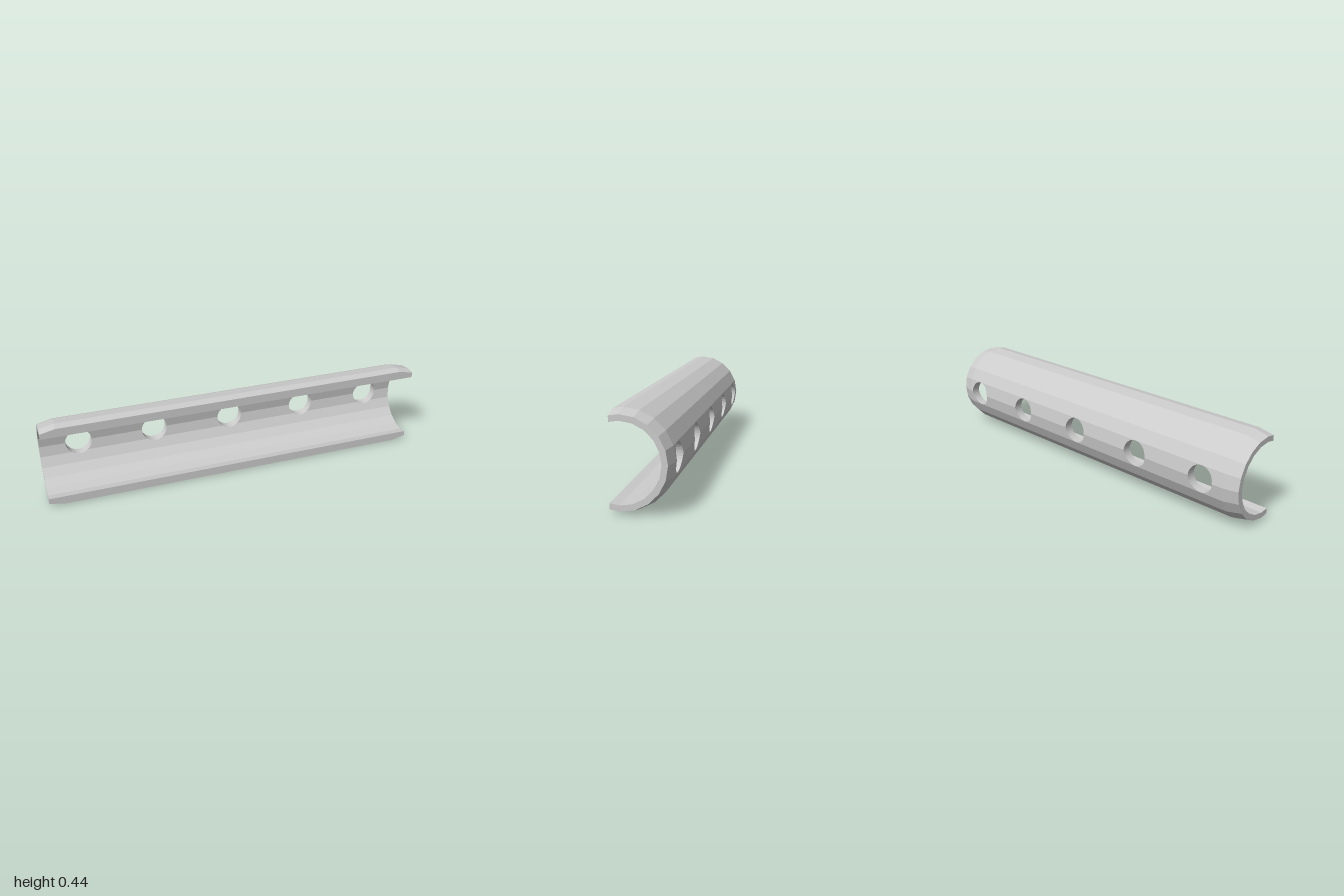
import * as THREE from 'three';

const STEP = Math.PI / 10;            // 20-sided tube
const AXIS_Y = 0.222, AXIS_Z = 0.09, FRONT_Z = 0.133;
const OUTER = 0.222, OUTER_END = 0.205, INNER = 0.178;
const CHAMFER_X = 0.925, HOLE_R = 0.068;
const HOLES = [-0.8, -0.4, 0.02, 0.44, 0.84];
const FACETS = 6;                     // facets from the back line to the cut edge

// Upper half of the cross-section as [height above axis, z], back to front
function profile(r) {
  const pts = [];
  for (let k = 0; k < FACETS; k++) pts.push([r * Math.sin(k * STEP), AXIS_Z - r * Math.cos(k * STEP)]);
  const t = (FRONT_Z - AXIS_Z) / (r * Math.sin(STEP));
  pts.push([r - t * r * (1 - Math.cos(STEP)), FRONT_Z]);
  return pts;
}

// Cross-section at x, with the points nearest the back pushed to the hole rim
function section(r, x, rim) {
  const pts = profile(r);
  const clamped = pts.map(([y, z], k) => {
    if (k > 2 || y >= rim) return [y, z];
    let i = 0;
    while (pts[i + 1][0] < rim) i++;
    const t = (rim - pts[i][0]) / (pts[i + 1][0] - pts[i][0]);
    return [rim, THREE.MathUtils.lerp(pts[i][1], pts[i + 1][1], t)];
  });
  return clamped.map(([y, z]) => new THREE.Vector3(x, y, z));
}

// Stations along the length: ends, chamfers and the points round each hole
function stations() {
  const angles = [];
  for (let i = 0; i <= 16; i++) angles.push(Math.PI * i / 16);
  const crease = Math.asin(INNER * Math.sin(STEP) / HOLE_R);
  angles.push(crease, Math.PI - crease);
  angles.sort((a, b) => b - a);
  const list = [[-1, 0], [-CHAMFER_X, 0]];
  for (const cx of HOLES)
    for (const a of angles)
      list.push([cx + HOLE_R * Math.cos(a), a === 0 || a === Math.PI ? 0 : HOLE_R * Math.sin(a)]);
  list.push([CHAMFER_X, 0], [1, 0]);
  return list.map(([x, rim]) => ({
    rim,
    outer: section(Math.abs(x) === 1 ? OUTER_END : OUTER, x, rim),
    inner: section(INNER, x, rim),
  }));
}

function halfPipeGeometry() {
  const positions = [];
  const ab = new THREE.Vector3(), ac = new THREE.Vector3();
  const triangle = (a, b, c) => {
    if (ab.subVectors(b, a).cross(ac.subVectors(c, a)).length() < 1e-9) return;
    // upper half, then its mirror image below the axis
    for (const p of [a, b, c]) positions.push(p.x, AXIS_Y + p.y, p.z);
    for (const p of [a, c, b]) positions.push(p.x, AXIS_Y - p.y, p.z);
  };
  const quad = (a, b, c, d) => { triangle(a, b, c); triangle(a, c, d); };

  const list = stations();
  for (let i = 0; i + 1 < list.length; i++) {
    const s = list[i], t = list[i + 1];
    const so = s.outer, to = t.outer, si = s.inner, ti = t.inner;
    // outer and inner skins
    for (let k = 0; k < FACETS; k++) {
      quad(so[k], so[k + 1], to[k + 1], to[k]);
      quad(si[k], ti[k], ti[k + 1], si[k + 1]);
    }
    // cut edge facing the front
    quad(si[FACETS], ti[FACETS], to[FACETS], so[FACETS]);
    // hole wall
    if (s.rim > 0 || t.rim > 0) quad(so[0], to[0], ti[0], si[0]);
  }

  // end faces
  const first = list[0], last = list[list.length - 1];
  for (let k = 0; k < FACETS; k++) {
    quad(last.inner[k], last.outer[k], last.outer[k + 1], last.inner[k + 1]);
    quad(first.inner[k], first.inner[k + 1], first.outer[k + 1], first.outer[k]);
  }

  const geometry = new THREE.BufferGeometry();
  geometry.setAttribute('position', new THREE.Float32BufferAttribute(positions, 3));
  geometry.computeVertexNormals();
  return geometry;
}

export function createModel() {
  const group = new THREE.Group();
  group.name = 'perforatedHalfPipe';
  const material = new THREE.MeshStandardMaterial({ color: 0xcccccc, flatShading: true });
  const pipe = new THREE.Mesh(halfPipeGeometry(), material);
  pipe.name = 'halfPipeShell';
  group.add(pipe);
  return group;
}
